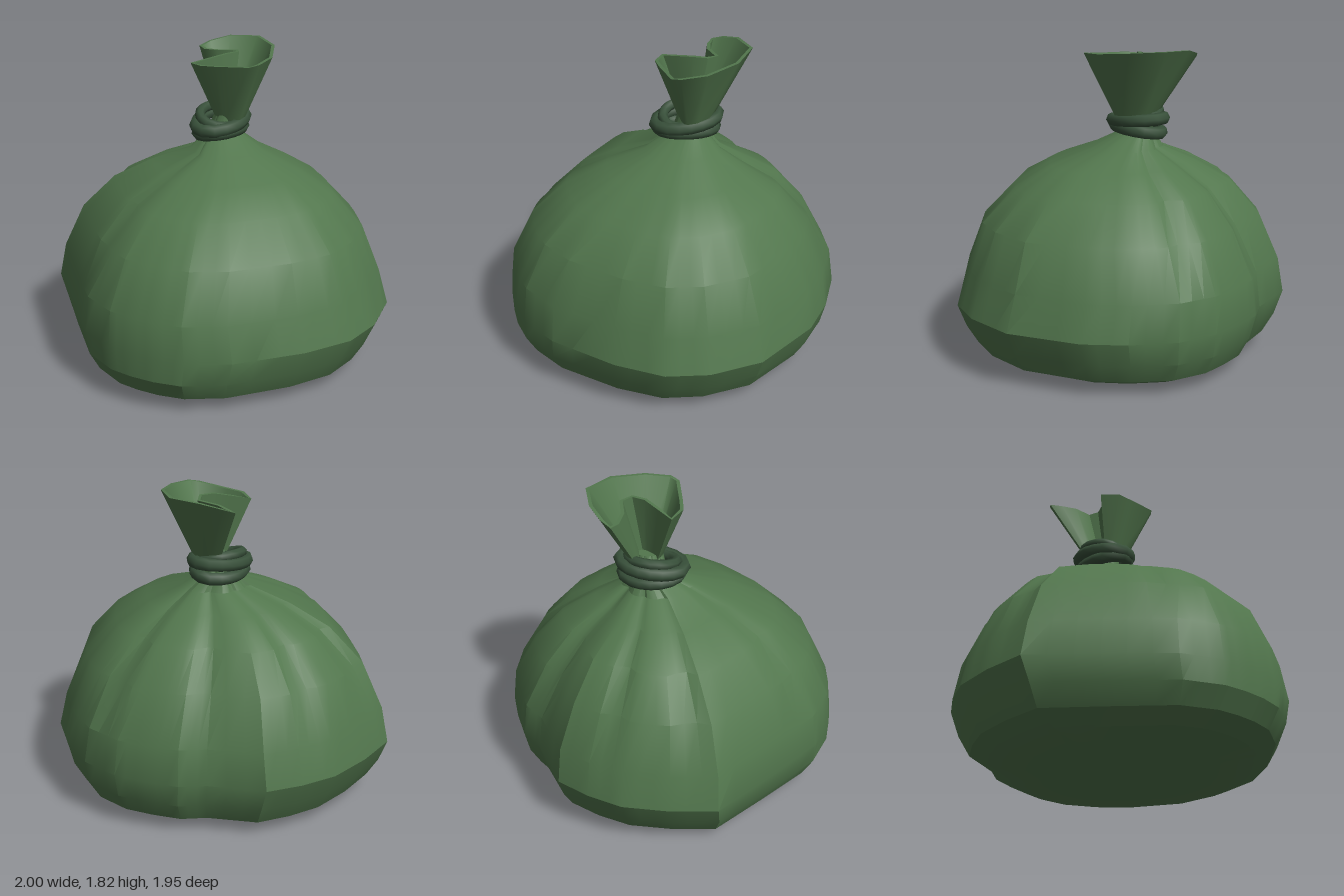
import * as THREE from 'three';
import { toCreasedNormals } from 'three/addons/utils/BufferGeometryUtils.js';

// Skin a list of equal-length rings, optionally closing the first; the last is closed
function loft(rings, crease, capStart) {
  const n = rings[0].length, pos = [], idx = [];
  rings.forEach(r => r.forEach(p => pos.push(p.x, p.y, p.z)));
  for (let i = 0; i < rings.length - 1; i++) {
    for (let j = 0; j < n; j++) {
      const k = (j + 1) % n;
      const a = i * n + j, b = i * n + k, c = a + n, d = b + n;
      idx.push(a, c, b, b, c, d);
    }
  }
  const cap = (i, flip) => {
    const mid = new THREE.Vector3();
    rings[i].forEach(p => mid.addScaledVector(p, 1 / n));
    const m = pos.length / 3;
    pos.push(mid.x, mid.y, mid.z);
    for (let j = 0; j < n; j++) {
      const a = i * n + j, b = i * n + (j + 1) % n;
      idx.push(m, flip ? b : a, flip ? a : b);
    }
  };
  if (capStart) cap(0, false);
  cap(rings.length - 1, true);
  const g = new THREE.BufferGeometry();
  g.setAttribute('position', new THREE.Float32BufferAttribute(pos, 3));
  g.setIndex(idx);
  return toCreasedNormals(g, crease);
}

// Widest outline of the sack as x, z
const OUTLINE = [
  [-0.02, -0.98], [0.22, -0.97], [0.47, -0.86], [0.68, -0.71], [0.94, -0.36], [1, -0.05],
  [0.97, 0.2], [0.82, 0.46], [0.54, 0.78], [0.32, 0.92], [0.15, 0.96], [0, 0.97],
  [-0.15, 0.96], [-0.38, 0.87], [-0.68, 0.6], [-0.98, 0.32], [-1, 0.05], [-0.98, -0.22],
  [-0.9, -0.42], [-0.79, -0.6], [-0.5, -0.75], [-0.38, -0.86], [-0.2, -0.93],
];
// Height, centre x, centre z, scale x, scale z
const LEVELS = [
  [0, 0, 0.02, 0.5, 0.54], [0.02, 0, 0.02, 0.73, 0.79], [0.085, 0, 0.01, 0.87, 0.92],
  [0.2, 0, 0.01, 0.94, 0.985], [0.34, 0, 0, 1, 1], [0.55, -0.01, 0, 0.945, 0.975],
  [0.82, -0.005, 0, 0.84, 0.84], [1.02, -0.01, -0.02, 0.655, 0.645],
  [1.14, 0, -0.04, 0.445, 0.425], [1.23, -0.01, -0.08, 0.21, 0.23],
  [1.32, -0.06, -0.12, 0.1, 0.1], [1.44, -0.03, -0.13, 0.07, 0.08],
];
// Gathered creases: direction x, z, depth, angular width
const CREASES = [
  [-0.83, -0.27, 0.08, 0.1], [-0.83, 0.17, 0.08, 0.1],
  [-0.22, 0.5, 0.07, 0.08], [0.1, -0.72, 0.09, 0.12], [0.55, -0.6, 0.03, 0.14],
  [-0.45, -0.75, 0.08, 0.12],
];

function sackGeometry() {
  // Straight facets between outline points, split so the creases can bend them
  const base = [];
  OUTLINE.forEach(([x, z], i) => {
    const [x2, z2] = OUTLINE[(i + 1) % OUTLINE.length];
    for (let k = 0; k < 3; k++) base.push([x + (x2 - x) * k / 3, z + (z2 - z) * k / 3]);
  });
  const rings = LEVELS.map(([y, cx, cz, sx, sz]) => base.map(([x, z]) => {
    const ang = Math.atan2(z, x);
    const fade = THREE.MathUtils.smoothstep(y, 0.5, 1.15);
    let r = 1;
    for (const [dx, dz, depth, width] of CREASES) {
      let d = ang - Math.atan2(dz, dx);
      d = Math.atan2(Math.sin(d), Math.cos(d));
      r -= depth * fade * Math.exp(-((d / width) ** 2));
    }
    return new THREE.Vector3(cx + x * sx * r, y, cz + z * sz * r);
  }));
  return loft(rings, 0.42, true);
}

// Flared mouth rim as x, y, z, with a fold tucked in on one side
const RIM = [
  [-0.02, 1.82, -0.48], [0.15, 1.81, -0.36], [0.24, 1.79, -0.17], [0.24, 1.78, -0.02],
  [0.2, 1.77, 0.03], [0, 1.755, 0.06], [-0.1, 1.75, 0.07], [-0.2, 1.74, 0.01],
  [-0.13, 1.76, -0.07], [-0.06, 1.78, -0.15], [-0.03, 1.78, -0.22], [-0.06, 1.77, -0.27],
  [-0.18, 1.76, -0.25], [-0.28, 1.75, -0.27], [-0.34, 1.755, -0.31], [-0.3, 1.78, -0.37],
  [-0.2, 1.81, -0.44],
];

function mouthGeometry() {
  const outer = RIM.map(p => new THREE.Vector3(...p));
  const n = outer.length;
  // Thin wall: shift each rim point inward, square to its neighbours
  const inner = outer.map((p, i) => {
    const t = outer[(i + 1) % n].clone().sub(outer[(i + n - 1) % n]).setY(0).normalize();
    return new THREE.Vector3(p.x - t.z * 0.02, p.y, p.z + t.x * 0.02);
  });
  const squeeze = (ring, s, y) => ring.map(p =>
    new THREE.Vector3(-0.02 + (p.x + 0.02) * s, y, -0.13 + (p.z + 0.13) * s));
  return loft([squeeze(outer, 0.33, 1.39), outer, inner, squeeze(inner, 0.3, 1.42)],
    0.9, false);
}

// One tilted turn of the cord around the neck
function coilGeometry(y, rx, rz, tiltX, tiltZ, thick) {
  const pts = [];
  for (let i = 0; i < 14; i++) {
    const a = i / 14 * Math.PI * 2, x = Math.cos(a), z = Math.sin(a);
    pts.push(new THREE.Vector3(-0.07 + x * rx, y + x * tiltX + z * tiltZ, -0.11 + z * rz));
  }
  return new THREE.TubeGeometry(new THREE.CatmullRomCurve3(pts, true), 16, thick, 7, true);
}

export function createModel() {
  const group = new THREE.Group();
  const cloth = new THREE.MeshStandardMaterial({ color: 0x52764d });
  cloth.name = 'green cloth';
  const cord = new THREE.MeshStandardMaterial({ color: 0x38503a });
  cord.name = 'dark green cord';
  const add = (name, geometry, material) => {
    const mesh = new THREE.Mesh(geometry, material);
    mesh.name = name;
    group.add(mesh);
  };

  add('sackBody', sackGeometry(), cloth);
  add('sackMouth', mouthGeometry(), cloth);

  // Cord wrapped round the neck
  add('lowerCoil', coilGeometry(1.33, 0.12, 0.17, 0.015, 0.005, 0.037), cord);
  add('middleCoil', coilGeometry(1.385, 0.13, 0.185, 0, -0.022, 0.038), cord);
  add('upperCoil', coilGeometry(1.41, 0.115, 0.14, -0.03, -0.012, 0.03), cord);
  return group;
}
